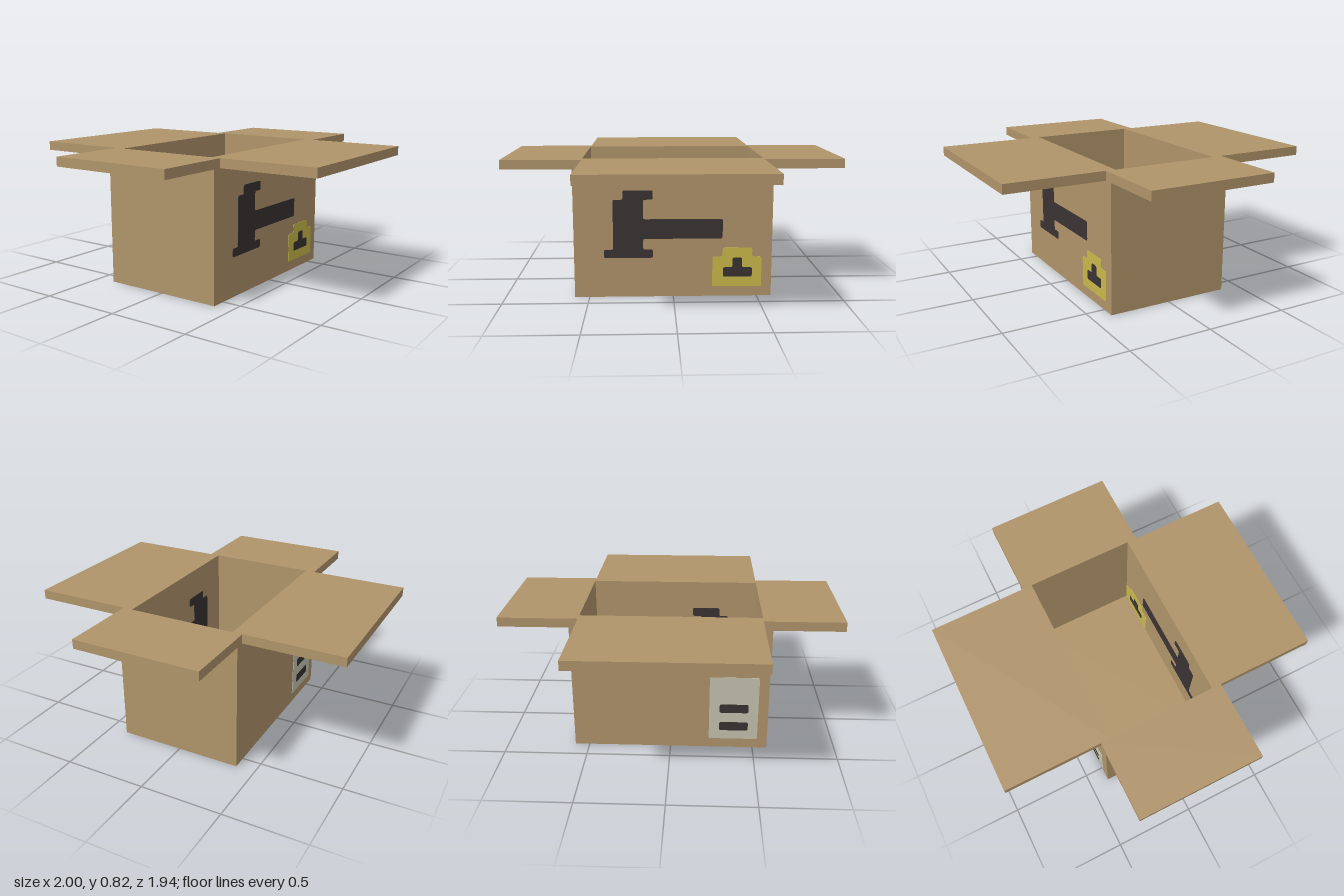
import * as THREE from 'three';

const material = (name, color) => {
  const m = new THREE.MeshStandardMaterial({ color });
  m.name = name;
  return m;
};

const W = 0.587, D = 0.383;        // outer half width and half depth
const IW = 0.53, ID = 0.325;       // inner half width and half depth
const RIM = 0.77, TOP = 0.825;     // wall height, flap top

// Closed outline with slightly rounded corners
function roundedShape(pts, r = 0.012) {
  const v = pts.map(([x, y]) => new THREE.Vector2(x, y));
  const s = new THREE.Shape();
  v.forEach((p, i) => {
    const prev = v[(i + v.length - 1) % v.length], next = v[(i + 1) % v.length];
    const a = p.clone().add(prev.clone().sub(p).setLength(r));
    const b = p.clone().add(next.clone().sub(p).setLength(r));
    if (i === 0) s.moveTo(a.x, a.y); else s.lineTo(a.x, a.y);
    s.quadraticCurveTo(p.x, p.y, b.x, b.y);
  });
  s.closePath();
  return s;
}

const rect = (x0, y0, x1, y1) => [[x0, y0], [x1, y0], [x1, y1], [x0, y1]];

export function createModel() {
  const model = new THREE.Group();
  model.name = 'openBox';
  const cardboard = material('cardboard', 0xb0946a);
  const ink = material('darkInk', 0x3a3333);
  const yellow = material('yellowSticker', 0xc9b94a);
  const paper = material('paleLabel', 0xc5c3af);

  const add = (name, geometry, mat) => {
    const mesh = new THREE.Mesh(geometry, mat);
    mesh.name = name;
    model.add(mesh);
    return mesh;
  };
  const block = (name, x0, x1, y0, y1, z0, z1) =>
    add(name, new THREE.BoxGeometry(x1 - x0, y1 - y0, z1 - z0), cardboard)
      .position.set((x0 + x1) / 2, (y0 + y1) / 2, (z0 + z1) / 2);

  // Four walls as one hollow tube, with a floor inside
  const outline = new THREE.Shape(rect(-W, -D, W, D).map(p => new THREE.Vector2(...p)));
  outline.holes.push(new THREE.Path(rect(-IW, -ID, IW, ID).map(p => new THREE.Vector2(...p))));
  const walls = new THREE.ExtrudeGeometry(outline, { depth: RIM, bevelEnabled: false });
  walls.rotateX(-Math.PI / 2);
  add('walls', walls, cardboard);
  block('floor', -IW, IW, 0, 0.055, -ID, ID);

  // Flaps folded flat outwards
  block('leftFlap', IW, 1, RIM, TOP, -D, D);
  block('rightFlap', -1, -IW, RIM, TOP, -D, D);
  block('frontFlap', -IW, IW, RIM, TOP, ID, 0.97);
  block('backFlap', -IW, IW, RIM, TOP, -0.97, -ID);

  // Flat print, showing on the outer and inner face of a wall
  const print = (name, pts, mat, side, layer = 1) => {
    const depth = 0.003 + 0.003 * layer;
    const geometry = new THREE.ExtrudeGeometry(roundedShape(pts),
      { depth, bevelEnabled: false, curveSegments: 4 });
    geometry.translate(0, 0, -depth / 2);
    add(name + 'Outside', geometry, mat).position.z = side * D;
    add(name + 'Inside', geometry, mat).position.z = side * ID;
  };

  // Front: large dark emblem
  print('emblem', [
    [-0.41, 0.24], [-0.12, 0.24], [-0.12, 0.29], [-0.178, 0.29], [-0.178, 0.355],
    [0.292, 0.355], [0.292, 0.473], [-0.178, 0.473], [-0.178, 0.59], [-0.12, 0.59],
    [-0.12, 0.645], [-0.297, 0.645], [-0.297, 0.59], [-0.355, 0.59], [-0.355, 0.29],
    [-0.41, 0.29],
  ], ink, 1);

  // Front: yellow sticker with a dark mark
  print('sticker', [
    [0.233, 0.06], [0.527, 0.06], [0.527, 0.243], [0.47, 0.243],
    [0.47, 0.297], [0.293, 0.297], [0.293, 0.243], [0.233, 0.243],
  ], yellow, 1);
  print('stickerMark', [
    [0.297, 0.12], [0.47, 0.12], [0.47, 0.178], [0.41, 0.178],
    [0.41, 0.237], [0.353, 0.237], [0.353, 0.178], [0.297, 0.178],
  ], ink, 1, 2);

  // Back: pale label with two dark bars
  print('label', rect(-0.527, 0.06, -0.233, 0.47), paper, -1);
  [0.118, 0.237].forEach((y, i) =>
    print('labelBar' + (i + 1), rect(-0.468, y, -0.295, y + 0.056), ink, -1, 2));

  return model;
}
